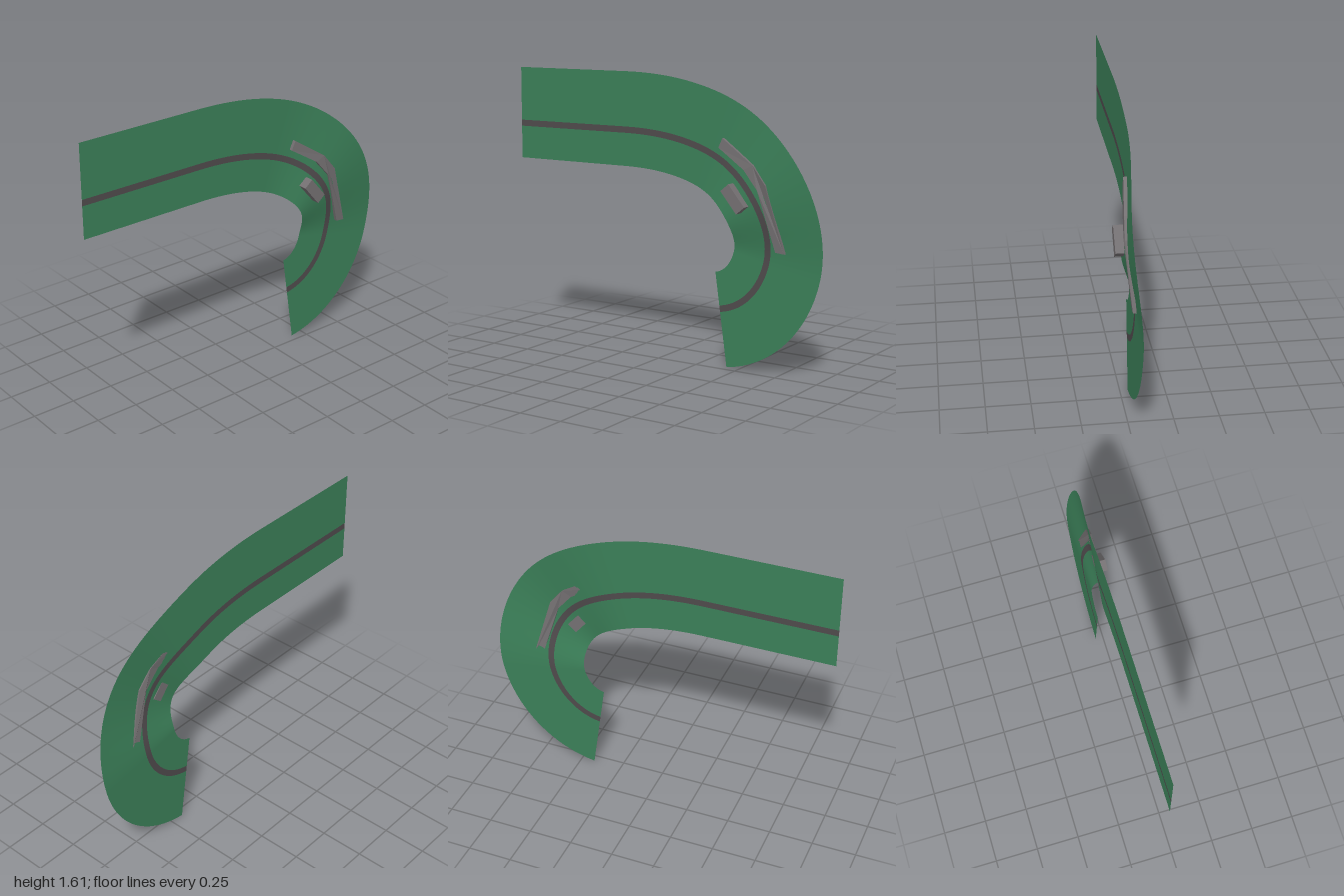
import * as THREE from 'three';

const mat = (name, color, side = THREE.FrontSide) => {
  const m = new THREE.MeshStandardMaterial({ color, side });
  m.name = name;
  return m;
};

// Road centre line: a straight followed by one long bend
const bend = new THREE.CubicBezierCurve(
  new THREE.Vector2(-0.25, 1.285), new THREE.Vector2(0.92, 1.285),
  new THREE.Vector2(0.8, 0.387), new THREE.Vector2(0.375, 0.327));

// Height of the ground along the bend: a single smooth crest
function ground(t) {
  const start = 0.17, peak = 0.4, end = 0.66;
  if (t <= start || t >= end) return -0.045;
  const k = t < peak ? (t - start) / (peak - start) : (end - t) / (end - peak);
  return -0.045 + 0.042 * Math.sin(k * Math.PI / 2) ** 2;
}

// Band of ground between two sideways offsets from the centre line
function band(outer, inner) {
  const pos = [], idx = [], steps = 72;
  const row = (p, tan, z) => {
    for (const d of [outer, inner]) pos.push(p.x - tan.y * d, p.y + tan.x * d, z);
  };
  row(new THREE.Vector2(-1, 1.285), new THREE.Vector2(1, 0), -0.045);
  for (let i = 0; i <= steps; i++) {
    const t = i / steps;
    row(bend.getPoint(t), bend.getTangent(t), ground(t));
  }
  for (let i = 0; i <= steps; i++) {
    const a = i * 2;
    idx.push(a, a + 1, a + 3, a, a + 3, a + 2);
  }
  const g = new THREE.BufferGeometry();
  g.setAttribute('position', new THREE.Float32BufferAttribute(pos, 3));
  g.setIndex(idx);
  g.computeVertexNormals();
  return g;
}

// Long barrier with two bends, its top following the crest
function barrierGeometry() {
  const outer = [[0.4, 1.278], [0.6, 1.145], [0.68, 1.045], [0.787, 0.678]];
  const inner = [[0.375, 1.225], [0.545, 1.118], [0.632, 1.015], [0.733, 0.683]];
  const top = [-0.018, 0.004, 0.01, -0.018];
  const outline = [...outer, ...inner.slice().reverse()].map(p => new THREE.Vector2(...p));
  const g = new THREE.ExtrudeGeometry(new THREE.Shape(outline), { depth: 1, bevelEnabled: false });
  const p = g.attributes.position;
  for (let i = 0; i < p.count; i++) {
    const near = c => Math.hypot(p.getX(i) - c[0], p.getY(i) - c[1]) < 1e-4;
    const k = top.findIndex((_, j) => near(outer[j]) || near(inner[j]));
    p.setZ(i, top[k] - (p.getZ(i) > 0.5 ? 0 : 0.02));
  }
  g.computeVertexNormals();
  return g;
}

export function createModel() {
  const group = new THREE.Group();
  group.name = 'roadBend';
  const grass = mat('grass green', 0x3b7f58, THREE.DoubleSide);
  const asphalt = mat('asphalt', 0x4f4a4c, THREE.DoubleSide);
  const concrete = mat('concrete grey', 0x747072);
  const add = (name, geometry, material) => {
    const mesh = new THREE.Mesh(geometry, material);
    mesh.name = name;
    group.add(mesh);
    return mesh;
  };

  add('outerGrass', band(0.33, 0.018), grass);
  add('road', band(0.018, -0.018), asphalt);
  add('innerGrass', band(-0.018, -0.207), grass);
  add('barrier', barrierGeometry(), concrete);

  // Small building inside the bend
  const building = add('building', new THREE.BoxGeometry(0.155, 0.064, 0.053), concrete);
  building.position.set(0.501, 0.96, 0.0185);
  building.rotation.z = -0.876;
  return group;
}
